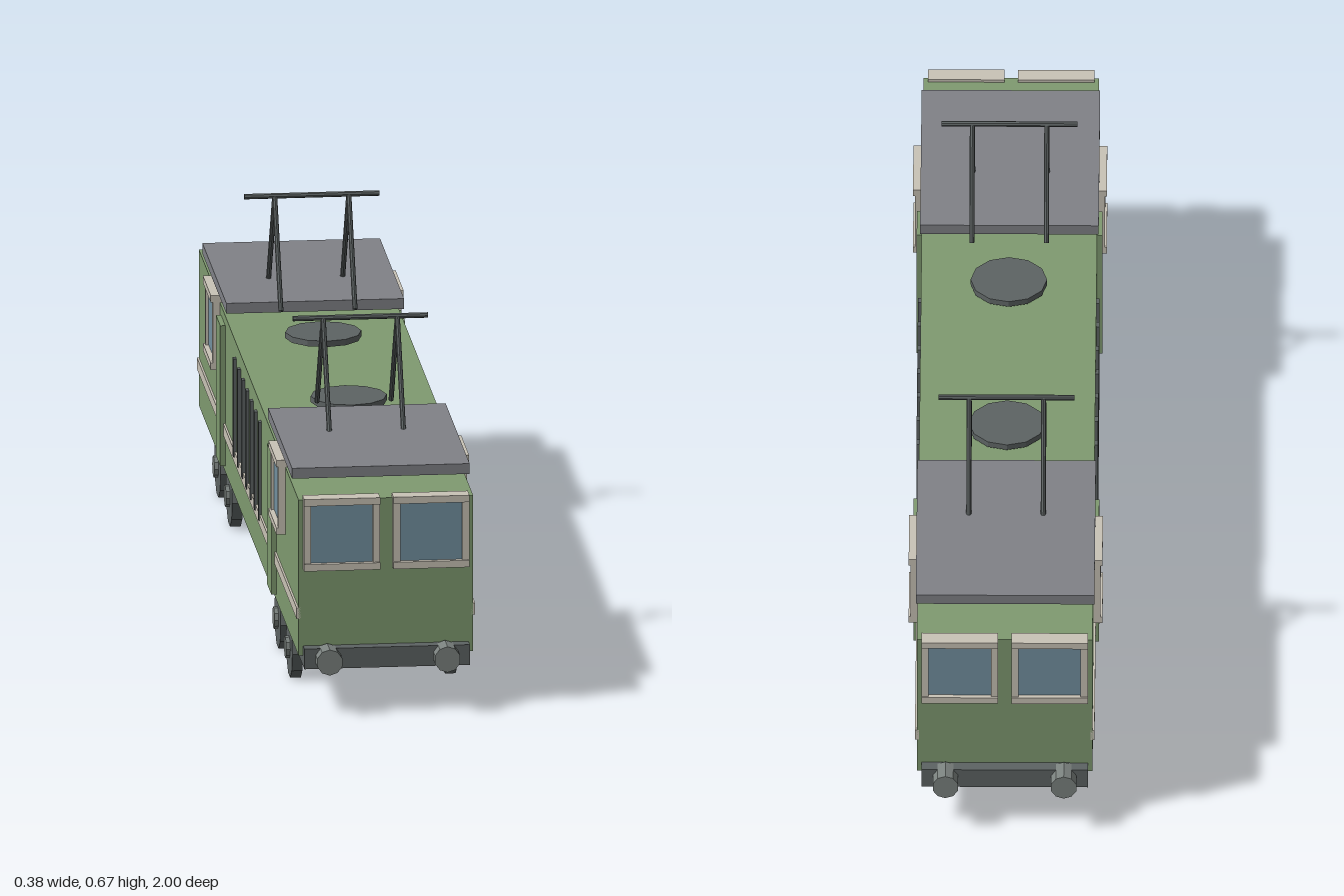
import * as THREE from 'three';

const mat = (color) => new THREE.MeshStandardMaterial({ color, flatShading: true });

export function createModel() {
  const green = mat(0x7f9a70), cream = mat(0xc9c3b6), roofGrey = mat(0x808287);
  const dark = mat(0x5d6363), steel = mat(0x7b827f), glass = mat(0x7391a0);
  const root = new THREE.Group();
  root.name = 'electricLocomotive';

  const add = (parent, name, geometry, material, x = 0, y = 0, z = 0) => {
    const mesh = new THREE.Mesh(geometry, material);
    mesh.name = name;
    mesh.position.set(x, y, z);
    parent.add(mesh);
    return mesh;
  };
  const box = (parent, name, material, w, h, d, x, y, z) =>
    add(parent, name, new THREE.BoxGeometry(w, h, d), material, x, y, z);

  // Cylinder between two points
  const rod = (parent, name, material, r, a, b, sides = 8) => {
    const from = new THREE.Vector3(...a), to = new THREE.Vector3(...b);
    const dir = to.clone().sub(from);
    const mesh = add(parent, name, new THREE.CylinderGeometry(r, r, dir.length(), sides), material);
    mesh.position.copy(from).add(to).multiplyScalar(0.5);
    mesh.quaternion.setFromUnitVectors(new THREE.Vector3(0, 1, 0), dir.normalize());
    return mesh;
  };

  // Framed window facing +z, centred on its origin: sill and lintel stand proud of the posts
  const makeWindow = (name, w, h) => {
    const g = new THREE.Group(), t = 0.014;
    g.name = name;
    for (const s of [-1, 1]) {
      box(g, 'windowRail', cream, w, t, 0.034, 0, s * (h - t) / 2, 0);
      box(g, 'windowPost', cream, t, h - 2 * t, 0.026, s * (w - t) / 2, 0, 0);
    }
    box(g, 'windowPane', glass, w - 2 * t, h - 2 * t, 0.014, 0, 0, 0);
    return g;
  };

  // Body and underframe
  box(root, 'body', green, 0.344, 0.316, 1.89, 0, 0.272, 0);
  box(root, 'underframe', dark, 0.326, 0.041, 1.94, 0, 0.1135, 0);

  for (const s of [-1, 1]) {
    // Side stripe and vents
    box(root, 'sideStripe', cream, 0.008, 0.023, 1.89, s * 0.172, 0.2, 0);
    for (let i = -3; i <= 3; i++)
      box(root, 'sideVent', dark, 0.012, 0.2, 0.016, s * 0.172, 0.3, i * 0.0795);

    for (const e of [-1, 1]) {
      // Doors and cab side windows
      box(root, 'door', green, 0.02, 0.285, 0.08, s * 0.172, 0.268, e * 0.484);
      const sideWindow = makeWindow('sideWindow', 0.15, 0.151);
      sideWindow.position.set(s * 0.173, 0.369, e * 0.622);
      sideWindow.rotation.y = s * Math.PI / 2;
      root.add(sideWindow);

      // Cab end windows and buffers
      const endWindow = makeWindow('endWindow', 0.15, 0.146);
      endWindow.position.set(s * 0.088, 0.363, e * 0.948);
      endWindow.rotation.y = e > 0 ? 0 : Math.PI;
      root.add(endWindow);
      rod(root, 'buffer', steel, 0.026, [s * 0.116, 0.113, e * 0.95], [s * 0.116, 0.113, e], 10);
    }
  }

  for (const e of [-1, 1]) {
    // Roof equipment
    box(root, 'roofPlate', roofGrey, 0.35, 0.021, 0.455, 0, 0.4585, e * 0.6225);
    add(root, 'roofFan', new THREE.CylinderGeometry(0.075, 0.075, 0.012, 12), dark, 0, 0.443, e * 0.241);

    // Pantograph
    const pantograph = new THREE.Group();
    pantograph.name = 'pantograph';
    root.add(pantograph);
    for (const s of [-1, 1])
      for (const foot of [0.342, 0.578])
        rod(pantograph, 'pantographArm', dark, 0.005,
          [s * 0.073, 0.465, e * foot], [s * 0.073, 0.667, e * 0.46]);
    rod(pantograph, 'contactBar', dark, 0.0055, [-0.133, 0.667, e * 0.46], [0.133, 0.667, e * 0.46]);

    // Wheelsets
    for (const z of [0.46, 0.68]) {
      const wheelset = new THREE.Group();
      wheelset.name = 'wheelset';
      wheelset.position.set(0, 0.061, e * z);
      root.add(wheelset);
      rod(wheelset, 'axle', dark, 0.01, [-0.15, 0, 0], [0.15, 0, 0]);
      for (const s of [-1, 1]) {
        rod(wheelset, 'wheel', dark, 0.061, [s * 0.142, 0, 0], [s * 0.163, 0, 0], 10);
        rod(wheelset, 'wheelHub', steel, 0.022, [s * 0.15, 0, 0], [s * 0.171, 0, 0], 10);
      }
    }
  }
  return root;
}
